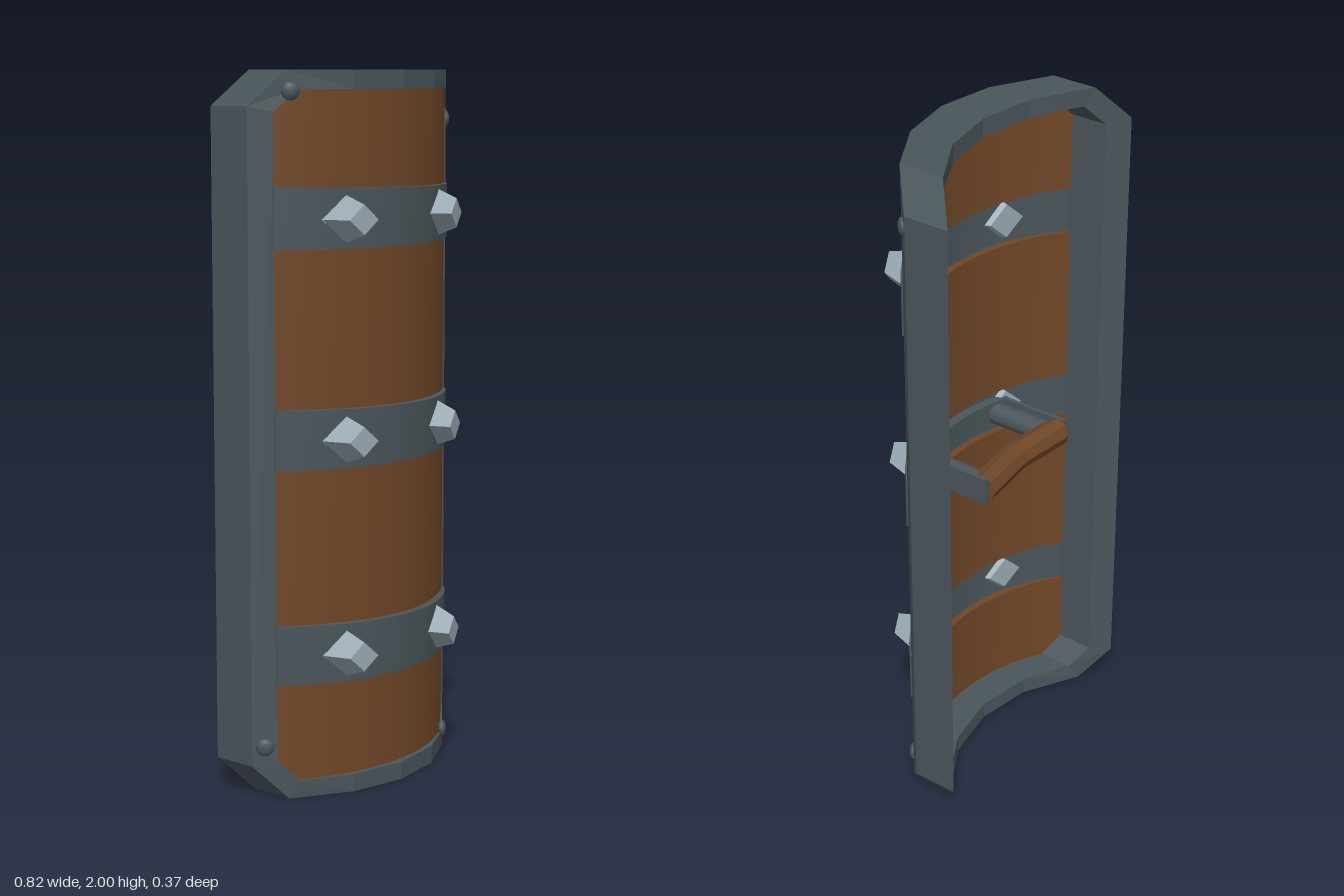
import * as THREE from 'three';

const wood = new THREE.MeshStandardMaterial({ color: 0x704728 });
wood.name = 'wood';
const iron = new THREE.MeshStandardMaterial({ color: 0x4a555a });
iron.name = 'dark iron';
const steel = new THREE.MeshStandardMaterial({ color: 0x98a8b1 });
steel.name = 'stud steel';

// Front surface of the curved shield
const curve = (x) => 0.14 - x * x - 0.9 * x ** 4;

function reshape(geometry, rule) {
  const p = geometry.attributes.position;
  const v = new THREE.Vector3();
  for (let i = 0; i < p.count; i++) {
    rule(v.fromBufferAttribute(p, i));
    p.setXYZ(i, v.x, v.y, v.z);
  }
  geometry.computeVertexNormals();
  return geometry;
}

function flat(geometry) {
  const g = geometry.index ? geometry.toNonIndexed() : geometry;
  g.computeVertexNormals();
  return g;
}

// Box that follows the shield curve; front and back are offsets from it
function bentSlab(width, height, front, back, flatten = 0) {
  const g = new THREE.BoxGeometry(width, height, front - back, 16, 1, 1);
  return reshape(g, (v) => { v.z += (front + back) / 2 + curve(v.x) + flatten * v.x * v.x; });
}

// Chamfered rim swept around the shield from outer/inner corner pairs
function rimGeometry() {
  const quarter = [
    [0, 1, 0, 0.95], [0.17, 1, 0.17, 0.95], [0.335, 1, 0.31, 0.95], [0.41, 0.905, 0.36, 0.89],
  ];
  const flip = (list, sx, sy) => list.map(([a, b, c, d]) => [a * sx, b * sy, c * sx, d * sy]);
  const ring = [
    ...quarter,
    ...flip([...quarter].reverse(), 1, -1),
    ...flip(quarter.slice(1), -1, -1),
    ...flip(quarter.slice(1).reverse(), -1, 1),
  ];
  const positions = [];
  const index = [];
  const depth = 0.135;
  ring.forEach(([ox, oy, ix, iy], i) => {
    const oz = curve(ox), iz = curve(ix);
    positions.push(ox, oy + 1, oz, ix, iy + 1, iz, ix, iy + 1, iz - depth, ox, oy + 1, oz - depth);
    const next = ((i + 1) % ring.length) * 4;
    for (let k = 0; k < 4; k++) {
      const a = i * 4 + k, b = i * 4 + ((k + 1) % 4);
      const c = next + ((k + 1) % 4), d = next + k;
      index.push(a, b, c, a, c, d);
    }
  });
  const g = new THREE.BufferGeometry();
  g.setAttribute('position', new THREE.Float32BufferAttribute(positions, 3));
  g.setIndex(index);
  return flat(g);
}

// Diamond stud, sheared to lie along the curve on one side
function studGeometry(tipRadius, baseZ, tipZ, side) {
  const g = new THREE.CylinderGeometry(tipRadius, 0.065, Math.abs(tipZ - baseZ), 4);
  g.rotateX(tipZ > baseZ ? Math.PI / 2 : -Math.PI / 2);
  return flat(reshape(g, (v) => { v.z += (baseZ + tipZ) / 2 - 0.37 * side * v.x; }));
}

export function createModel() {
  const model = new THREE.Group();
  model.name = 'curvedShield';
  const add = (name, geometry, material, x = 0, y = 0, z = 0) => {
    const mesh = new THREE.Mesh(geometry, material);
    mesh.name = name;
    mesh.position.set(x, y, z);
    model.add(mesh);
    return mesh;
  };

  // Body: four wooden panels between the bands
  for (const [low, high] of [[0.045, 0.335], [0.47, 0.935], [1.07, 1.535], [1.67, 1.955]]) {
    add('woodPanel', bentSlab(0.73, high - low, -0.025, -0.045, 0.15), wood, 0, (low + high) / 2);
  }
  add('rim', rimGeometry(), iron);

  // Cross bands, a little taller on the right, with studs front and back
  for (const y of [0.4, 1, 1.6]) {
    const band = reshape(bentSlab(0.724, 0.155, 0.006, -0.018), (v) => {
      if (v.y > 0) v.y += 0.004 - 0.022 * v.x;
    });
    add('crossBand', band, iron, 0, y + 0.003);
    for (const side of [-1, 1]) {
      add('frontStud', studGeometry(0.041, 0.103, 0.171, side), steel, side * 0.195, y + 0.005);
      add('backStud', studGeometry(0.05, 0.1, 0.068, side), steel, side * 0.195, y + 0.005);
    }
  }

  // Corner rivets
  for (const [x, y] of [[-0.325, 1.945], [0.385, 1.86], [-0.385, 0.15], [0.305, 0.06]]) {
    const rivet = add('cornerRivet', new THREE.SphereGeometry(0.025, 10, 8), iron, x, y, curve(x));
    rivet.scale.z = 0.5;
    rivet.rotation.y = Math.atan(2 * x + 3.6 * x ** 3);
  }

  // Handle: backing plate with side tabs, two posts and a bent grip
  add('handlePlate', bentSlab(0.39, 0.08, -0.015, -0.045), iron, 0, 1);
  for (const side of [-1, 1]) {
    const post = new THREE.CylinderGeometry(0.033, 0.033, 0.2, 12).rotateX(Math.PI / 2);
    add('handlePost', post, iron, side * 0.158, 1, -0.02);
    add('handleTab', new THREE.BoxGeometry(0.013, 0.08, 0.225), iron, side * 0.187, 1, -0.0325);
  }
  const grip = new THREE.CylinderGeometry(0.042, 0.042, 0.36, 8, 2).rotateZ(Math.PI / 2);
  reshape(grip, (v) => { v.z -= 0.11 * Math.abs(v.x); });
  add('handleGrip', flat(grip), wood, 0, 1, -0.104);

  return model;
}
